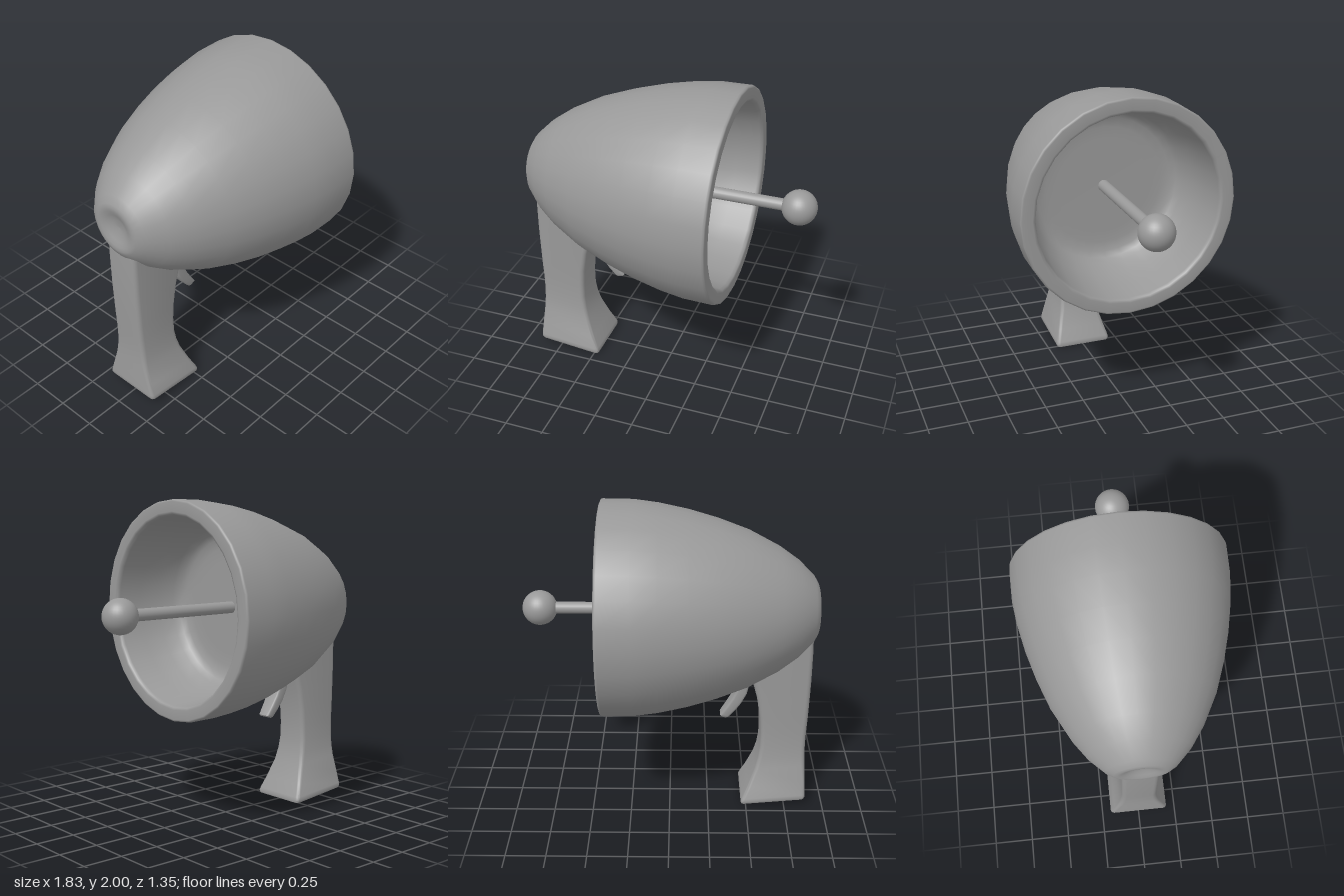
import * as THREE from 'three';
import { toCreasedNormals } from 'three/addons/utils/BufferGeometryUtils.js';

const AXIS_Y = 1.328;
const material = new THREE.MeshStandardMaterial({ color: 0x999999 });

function add(group, name, geometry) {
  const mesh = new THREE.Mesh(geometry, material);
  mesh.name = name;
  group.add(mesh);
  return mesh;
}

// Lofts rounded rectangles from top to bottom.
// Section: back x, back y, front x, front y, half width in z, corner radius.
function loft(sections, cornerSteps = 4) {
  const positions = [], index = [];
  const n = 4 * (cornerSteps + 1);
  for (const [x0, y0, x1, y1, w, r] of sections) {
    const half = Math.hypot(x1 - x0, y1 - y0) / 2;
    const ux = (x1 - x0) / (2 * half), uy = (y1 - y0) / (2 * half);
    for (let q = 0; q < 4; q++) {
      const su = q === 0 || q === 3 ? 1 : -1, sv = q < 2 ? 1 : -1;
      for (let k = 0; k <= cornerSteps; k++) {
        const t = (q + k / cornerSteps) * Math.PI / 2;
        const u = su * (half - r) + r * Math.cos(t);
        const v = sv * (w - r) + r * Math.sin(t);
        positions.push((x0 + x1) / 2 + u * ux, (y0 + y1) / 2 + u * uy, v);
      }
    }
  }
  const last = sections.length - 1;
  for (let s = 0; s < last; s++) {
    for (let i = 0; i < n; i++) {
      const a = s * n + i, b = s * n + (i + 1) % n;
      index.push(a, b, a + n, b, b + n, a + n);
    }
  }
  // end caps
  for (let i = 1; i < n - 1; i++) {
    index.push(0, i + 1, i);
    index.push(last * n, last * n + i, last * n + i + 1);
  }
  const geometry = new THREE.BufferGeometry();
  geometry.setAttribute('position', new THREE.Float32BufferAttribute(positions, 3));
  geometry.setIndex(index);
  return toCreasedNormals(geometry, 0.7);
}

export function createModel() {
  const model = new THREE.Group();

  // Hollow bell: [radius, x] from the dimple at the back, over the rim, to the inner floor
  const profile = [
    [0, -0.885], [0.05, -0.889], [0.09, -0.904], [0.12, -0.915], [0.145, -0.917], [0.165, -0.911],
    [0.21, -0.885], [0.305, -0.79], [0.39, -0.67], [0.49, -0.48], [0.56, -0.29],
    [0.612, -0.11], [0.65, 0.07], [0.67, 0.22], [0.673, 0.408], [0.67, 0.42], [0.66, 0.425],
    [0.6, 0.425], [0.585, 0.419], [0.577, 0.40], [0.562, 0.25], [0.535, 0.12], [0.5, 0.03],
    [0.475, -0.01], [0.44, -0.035], [0.38, -0.045], [0.3, -0.047], [0, -0.047],
  ].map(([r, x]) => new THREE.Vector2(r, x));
  const bell = add(model, 'bell', new THREE.LatheGeometry(profile, 28));
  bell.rotation.z = -Math.PI / 2;
  bell.position.y = AXIS_Y;

  // Antenna rod and ball
  const rod = add(model, 'rod', new THREE.CylinderGeometry(0.037, 0.037, 0.9, 20));
  rod.rotation.z = -Math.PI / 2;
  rod.position.set(0.35, AXIS_Y, 0);
  const ball = add(model, 'ball', new THREE.SphereGeometry(0.108, 32, 20));
  ball.position.set(0.807, AXIS_Y, 0);

  // Pistol grip with a flared, slanted foot
  add(model, 'grip', loft([
    [-0.89, 1.18, -0.48, 1.02, 0.113, 0.03],
    [-0.893, 1.08, -0.5, 0.94, 0.113, 0.03],
    [-0.893, 0.88, -0.524, 0.86, 0.113, 0.03],
    [-0.89, 0.75, -0.554, 0.75, 0.113, 0.03],
    [-0.886, 0.61, -0.578, 0.61, 0.113, 0.03],
    [-0.881, 0.5, -0.586, 0.5, 0.113, 0.03],
    [-0.878, 0.41, -0.586, 0.4, 0.117, 0.03],
    [-0.878, 0.34, -0.576, 0.32, 0.123, 0.028],
    [-0.88, 0.27, -0.556, 0.24, 0.134, 0.026],
    [-0.884, 0.16, -0.51, 0.12, 0.165, 0.024],
    [-0.887, 0.08, -0.474, 0.042, 0.188, 0.024],
    [-0.887, 0.062, -0.467, 0.022, 0.192, 0.024],
    [-0.881, 0.047, -0.47, 0.007, 0.187, 0.022],
    [-0.866, 0.039, -0.484, 0, 0.175, 0.02],
  ]));

  // Curved trigger, narrowing towards its tip
  const trigger = add(model, 'trigger', loft([
    [-0.52, 0.945, -0.446, 0.945, 0.059, 0.014],
    [-0.512, 0.853, -0.444, 0.863, 0.058, 0.014],
    [-0.492, 0.758, -0.428, 0.783, 0.056, 0.014],
    [-0.461, 0.693, -0.401, 0.723, 0.054, 0.014],
    [-0.424, 0.637, -0.366, 0.663, 0.05, 0.014],
    [-0.387, 0.592, -0.331, 0.608, 0.046, 0.014],
    [-0.377, 0.582, -0.324, 0.596, 0.043, 0.012],
    [-0.365, 0.577, -0.329, 0.587, 0.037, 0.01],
  ], 3));
  trigger.position.z = -0.005;

  return model;
}
